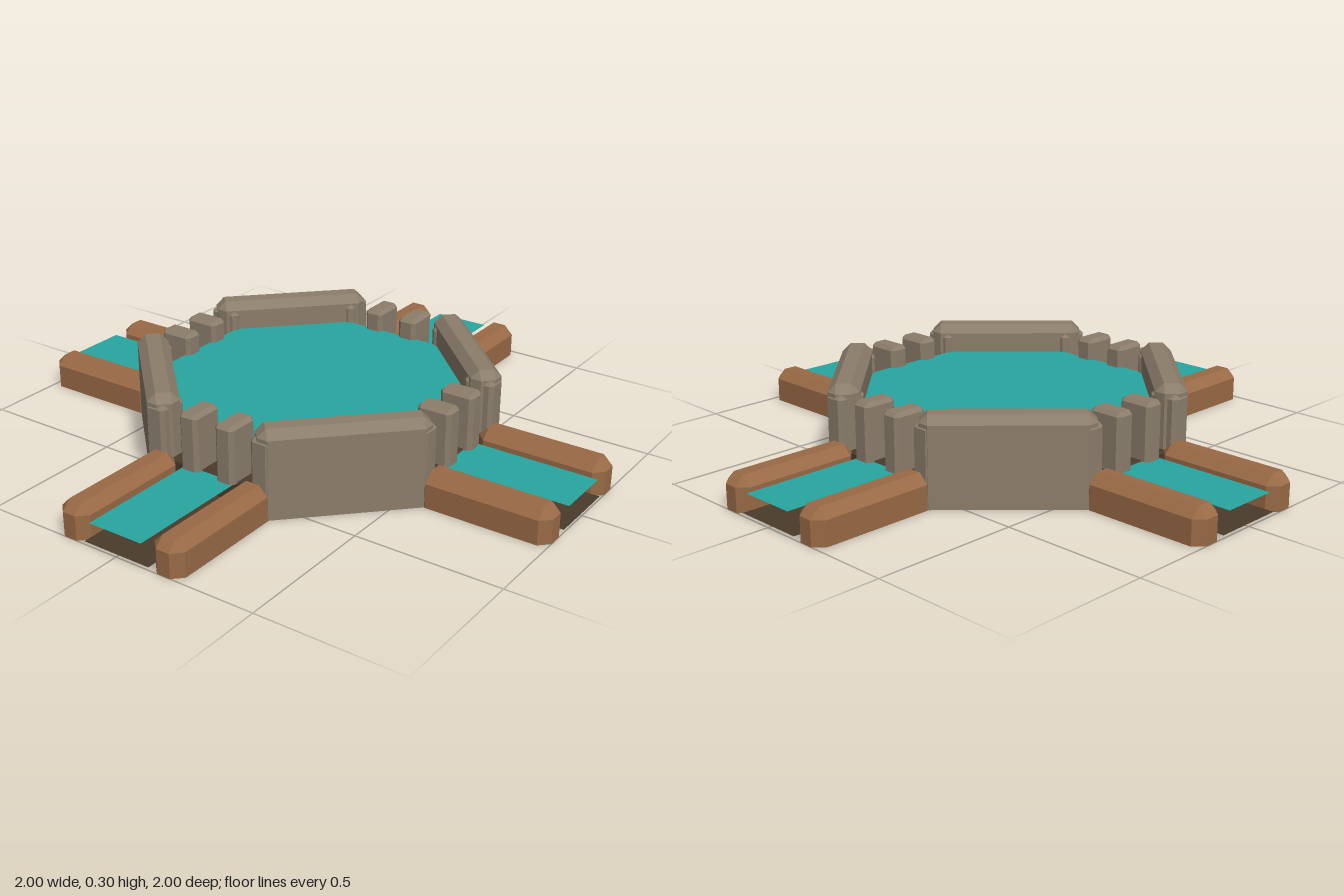
import * as THREE from 'three';
import { ConvexGeometry } from 'three/addons/geometries/ConvexGeometry.js';

const mat = (name, color) => {
  const m = new THREE.MeshStandardMaterial({ color, side: THREE.DoubleSide });
  m.name = name;
  return m;
};

// Hollow block, open underneath, with chamfered top and upright edges
function chamferBlock(w, y0, y1, d, b) {
  const pts = [];
  for (const sx of [-1, 1]) for (const sz of [-1, 1]) {
    const x = sx * w / 2, z = sz * d / 2, xi = x - sx * b, zi = z - sz * b;
    for (const y of [y0, y1 - b]) {
      pts.push(new THREE.Vector3(xi, y, z), new THREE.Vector3(x, y, zi));
    }
    pts.push(new THREE.Vector3(xi, y1, zi));
  }
  const hull = new ConvexGeometry(pts).getAttribute('position');
  const kept = [];
  for (let i = 0; i < hull.count; i += 3) {
    const isBase = [0, 1, 2].every(k => Math.abs(hull.getY(i + k) - y0) < 1e-5);
    if (!isBase) kept.push(...hull.array.slice(i * 3, i * 3 + 9));
  }
  const geo = new THREE.BufferGeometry();
  geo.setAttribute('position', new THREE.Float32BufferAttribute(kept, 3));
  geo.computeVertexNormals();
  return geo;
}

export function createModel() {
  const stone = mat('stone', 0x8b7d6b);
  const wood = mat('wood', 0x996a46);
  const bed = mat('dark bed', 0x4a3b2a);
  const water = mat('water', 0x28a59f);

  const model = new THREE.Group();
  model.name = 'fountainPool';
  const add = (parent, name, geo, material, x = 0, y = 0, z = 0) => {
    const mesh = new THREE.Mesh(geo, material);
    mesh.name = name;
    mesh.position.set(x, y, z);
    parent.add(mesh);
    return mesh;
  };

  // Octagonal floor and raised water surface
  const radius = 0.48 / Math.cos(Math.PI / 8);
  const octagon = new THREE.CircleGeometry(radius, 8, Math.PI / 8).rotateX(-Math.PI / 2);
  add(model, 'poolFloor', octagon, bed, 0, 0.07, 0);
  add(model, 'poolWater', octagon, water, 0, 0.2, 0);

  // Shared parts of each side
  const wallGeo = chamferBlock(0.54, 0, 0.298, 0.105, 0.028);
  const postGeo = chamferBlock(0.07, 0.08, 0.275, 0.122, 0.013);
  const cornerPostGeo = chamferBlock(0.075, 0, 0.267, 0.11, 0.013);
  const logGeo = chamferBlock(0.112, 0, 0.115, 0.45, 0.032);
  const sillGeo = chamferBlock(0.36, 0, 0.084, 0.08, 0.004);
  const bedGeo = new THREE.PlaneGeometry(0.25, 0.44).rotateX(-Math.PI / 2);
  const channelGeo = new THREE.PlaneGeometry(0.2, 0.44).rotateX(-Math.PI / 2);

  // Four sides, each with a channel and a diagonal wall
  for (let i = 0; i < 4; i++) {
    const side = new THREE.Group();
    side.name = 'side' + (i + 1);
    side.rotation.y = i * Math.PI / 2;
    model.add(side);

    add(side, 'sill', sillGeo, bed, 0, 0, 0.52);
    add(side, 'channelBed', bedGeo, bed, 0, 0.01, 0.78);
    add(side, 'channelWater', channelGeo, water, 0, 0.08, 0.78);
    for (const s of [-1, 1]) {
      add(side, 'gatePost', postGeo, stone, s * 0.07, 0, 0.523);
      add(side, 'cornerPost', cornerPostGeo, stone, s * 0.206, 0, 0.527);
      add(side, 'channelLog', logGeo, wood, s * 0.181, 0, 0.775);
    }
    add(side, 'wall', wallGeo, stone, 0.37, 0, 0.37).rotation.y = Math.PI / 4;
  }
  return model;
}
